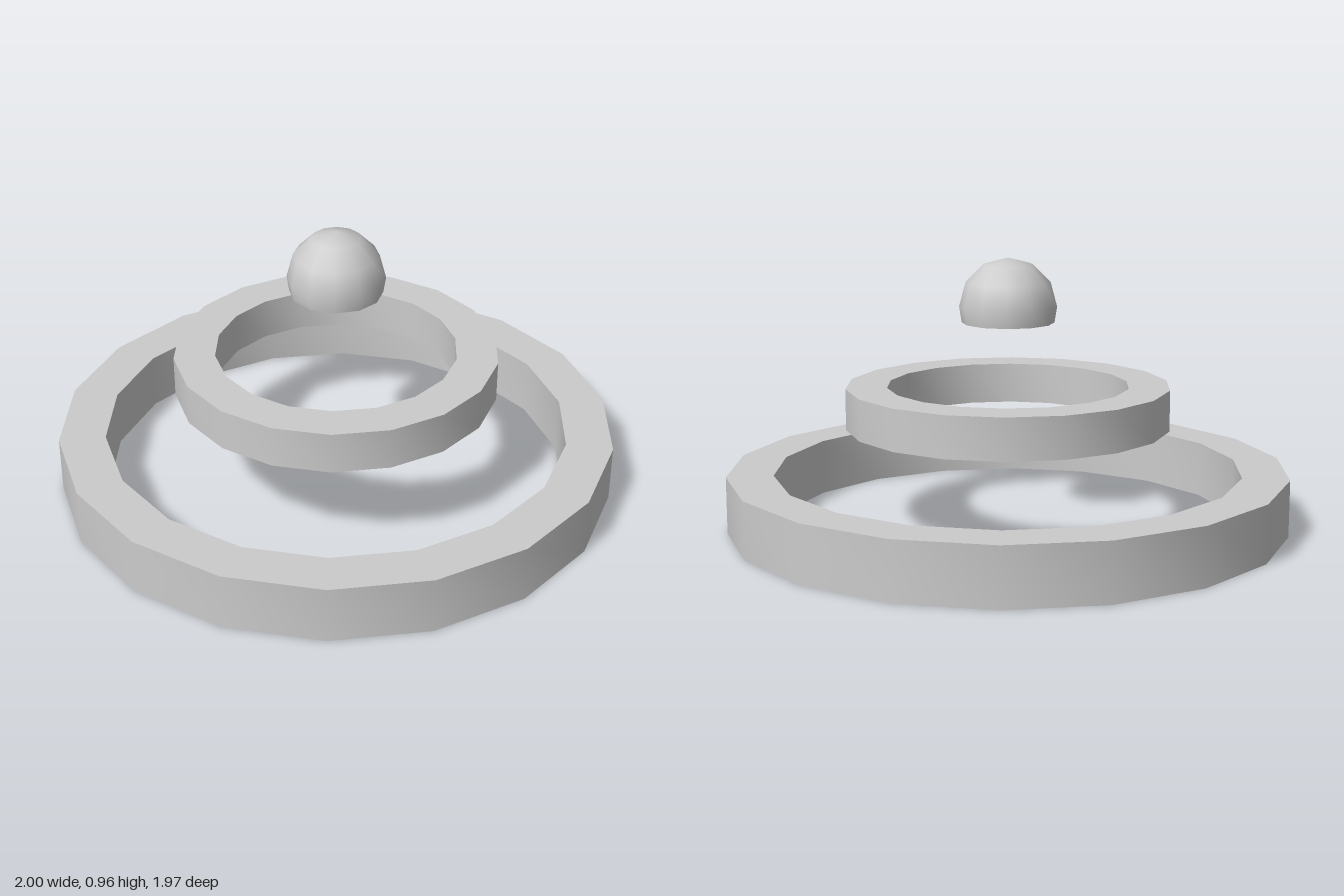
import * as THREE from 'three';
import { toCreasedNormals } from 'three/addons/utils/BufferGeometryUtils.js';

const material = new THREE.MeshStandardMaterial({ color: 0xcccccc });

// Revolves a profile of [radius, height] points, with a corner on the +x axis
function turned(name, profile, sides, crease) {
  const points = profile.map(([r, y]) => new THREE.Vector2(r, y));
  const geometry = new THREE.LatheGeometry(points, sides, Math.PI / 2);
  const mesh = new THREE.Mesh(toCreasedNormals(geometry, crease), material);
  mesh.name = name;
  return mesh;
}

// Flat-topped ring with a square section
function ring(name, inner, outer, bottom, top) {
  const profile = [[outer, bottom], [outer, top], [inner, top], [inner, bottom], [outer, bottom]];
  return turned(name, profile, 18, 0.6);
}

export function createModel() {
  const model = new THREE.Group();
  model.name = 'tieredRings';

  // Two floating tiers
  model.add(ring('lowerRing', 0.834, 1, 0, 0.204));
  model.add(ring('upperRing', 0.431, 0.577, 0.36, 0.507));

  // Dome: a sphere cut flat just below its widest point
  const radius = 0.173, centre = 0.787;
  const profile = [[0, 0.731], [0.164, 0.731]];
  for (const degrees of [0, 30, 60]) {
    const a = THREE.MathUtils.degToRad(degrees);
    profile.push([radius * Math.cos(a), centre + radius * Math.sin(a)]);
  }
  profile.push([0, centre + radius]);
  model.add(turned('topDome', profile, 12, 0.9));

  return model;
}
